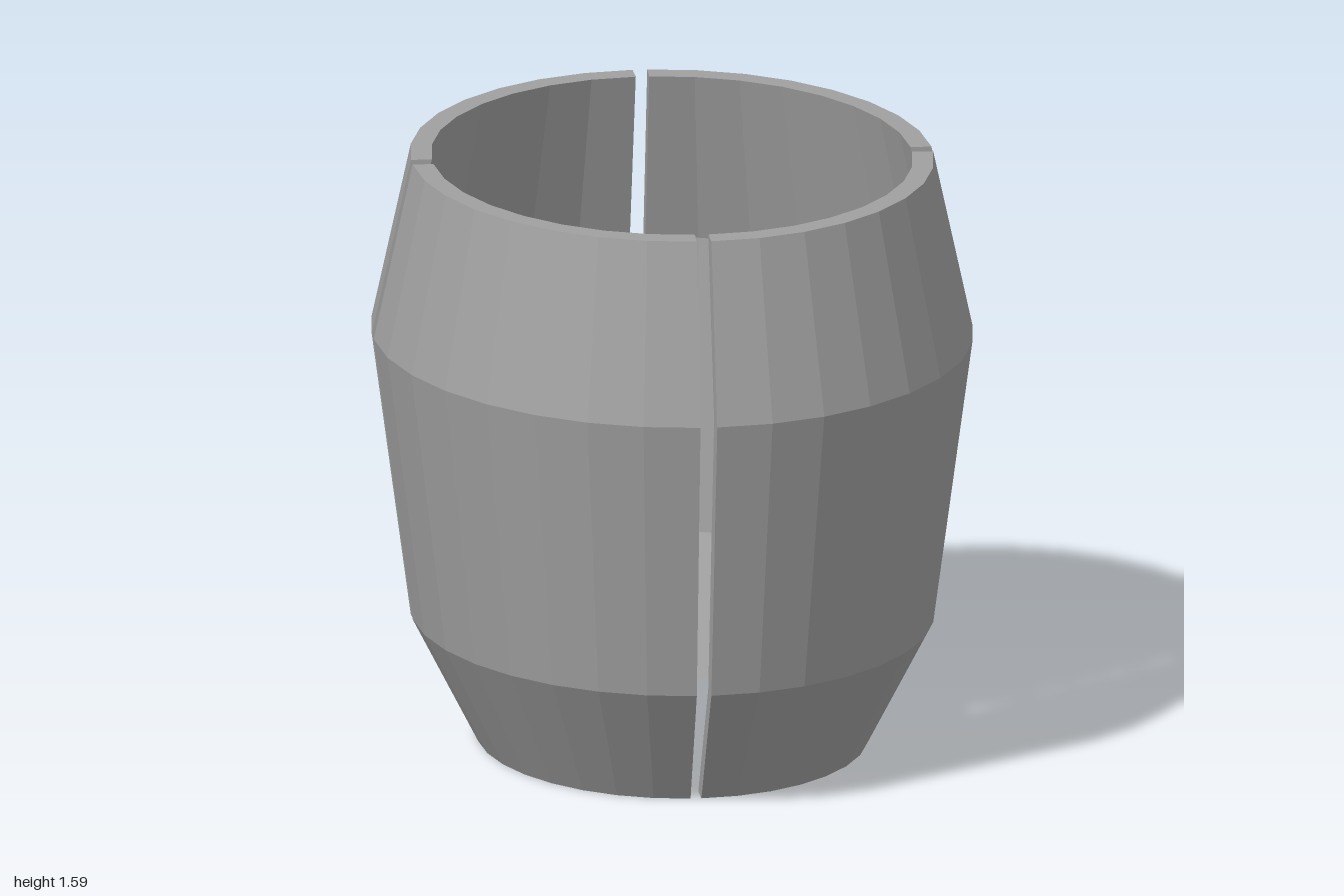
import * as THREE from 'three';
import { mergeGeometries } from 'three/addons/utils/BufferGeometryUtils.js';

const GAP = 0.028;        // half of the angular gap between staves
const SEGMENTS = 8;       // facets per stave
const X_SCALE = 0.795;    // oval plan: narrower across x than along z

// Closed wall section (radius, height): up the outside, down the inside
const SECTION = [
  [0.65, 0], [0.87, 0.34], [1.0, 1.11], [0.87, 1.585],
  [0.80, 1.585], [0.93, 1.11], [0.80, 0.34], [0.58, 0],
].map(([r, y]) => new THREE.Vector2(r, y));

// Flat end face of a stave, placed at angle phi
function endCap(phi, flip) {
  const cap = new THREE.ShapeGeometry(new THREE.Shape(SECTION));
  if (flip) cap.index.array.reverse();
  return cap.rotateY(phi - Math.PI / 2).toNonIndexed();
}

// One quarter of the barrel shell, with both ends closed
function staveGeometry(quarter) {
  const start = quarter * Math.PI / 2 + GAP;
  const span = Math.PI / 2 - 2 * GAP;
  const wall = new THREE.LatheGeometry([...SECTION, SECTION[0]], SEGMENTS, start, span).toNonIndexed();
  const stave = mergeGeometries([wall, endCap(start, false), endCap(start + span, true)]);
  stave.scale(X_SCALE, 1, 1);
  stave.computeVertexNormals();   // faceted normals
  return stave;
}

export function createModel() {
  const model = new THREE.Group();
  model.name = 'splitBarrelShell';
  const grey = new THREE.MeshStandardMaterial({ color: 0xa0a0a0 });
  grey.name = 'grey';

  const names = ['frontLeftStave', 'backLeftStave', 'backRightStave', 'frontRightStave'];
  names.forEach((name, i) => {
    const mesh = new THREE.Mesh(staveGeometry(i), grey);
    mesh.name = name;
    model.add(mesh);
  });
  return model;
}
